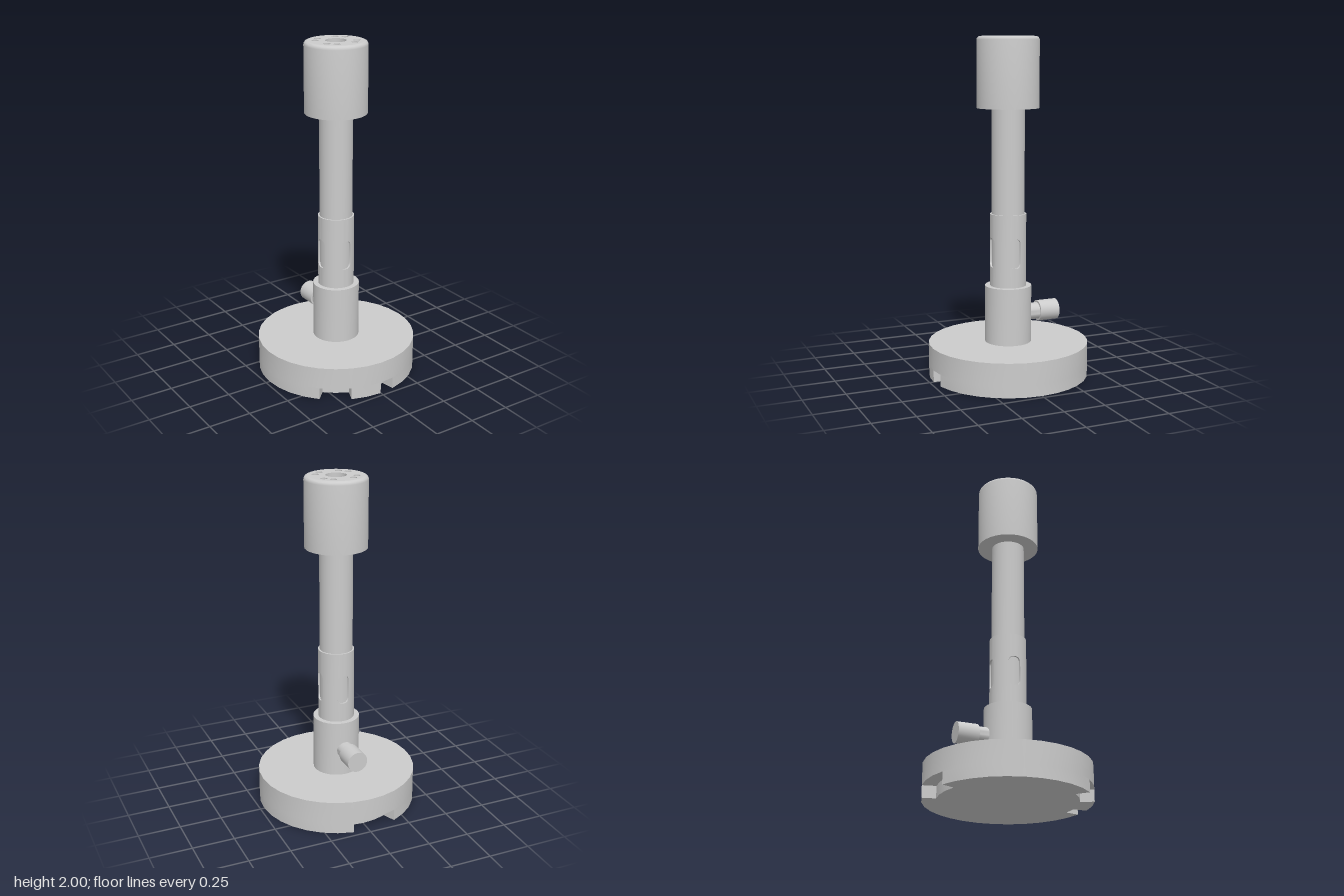
import * as THREE from 'three';
import { toCreasedNormals } from 'three/addons/utils/BufferGeometryUtils.js';

const V = (x, y) => new THREE.Vector2(x, y);

export function createModel() {
  const model = new THREE.Group();
  const material = new THREE.MeshStandardMaterial({ color: 0xcccccc });
  const twoSided = new THREE.MeshStandardMaterial({ color: 0xcccccc, side: THREE.DoubleSide });

  const add = (name, geometry, mat = material, parent = model) => {
    const mesh = new THREE.Mesh(toCreasedNormals(geometry, 0.6), mat);
    mesh.name = name;
    parent.add(mesh);
    return mesh;
  };
  const lathe = (points) => new THREE.LatheGeometry(points.map(p => V(...p)), 32);
  const cylinder = (r, y0, y1, open = false) =>
    new THREE.CylinderGeometry(r, r, y1 - y0, 32, 1, open).translate(0, (y0 + y1) / 2, 0);

  // Heavy round foot: a disc above a rim layer with notches in its edge
  const R = 0.475, notchTop = 0.07, step = Math.PI / 16;
  add('baseDisc', cylinder(R, notchTop, 0.2));
  const notched = new Set([0, 15, 16, 17, 28, 29]);
  const rim = new THREE.Shape();
  const rimPoints = [];
  for (let i = 0; i < 32; i++) {
    const r = notched.has(i) ? R - 0.08 : R;
    for (const a of [i * step, (i + 1) * step]) {
      const p = V(r * Math.sin(a), -r * Math.cos(a));
      const last = rimPoints[rimPoints.length - 1];
      if (!last || last.distanceTo(p) > 1e-5) rimPoints.push(p);
    }
  }
  rim.setFromPoints(rimPoints);
  add('baseNotchedRim', new THREE.ExtrudeGeometry(rim, { depth: notchTop, bevelEnabled: false })
    .rotateX(-Math.PI / 2));

  // Lower body and burner tube
  add('lowerBody', cylinder(0.138, 0.2, 0.54));
  add('burnerTube', cylinder(0.097, 0.54, 1.6));

  // Air collar: a thin sleeve with four oblong windows over the tube
  add('airCollar', collarGeometry(0.107, 0.097, 0.54, 0.97), twoSided);

  // Gas valve at the back
  const valve = new THREE.Group();
  valve.name = 'gasValve';
  valve.position.set(0, 0.363, 0);
  valve.rotation.x = -Math.PI / 2;
  model.add(valve);
  add('valveNeck', cylinder(0.05, 0.12, 0.2), material, valve);
  add('valveKnob', cylinder(0.0615, 0.19, 0.313), material, valve);

  // Burner head with a rounded upper edge
  const head = new THREE.Group();
  head.name = 'burnerHead';
  model.add(head);
  const profile = [[0.09, 1.588], [0.182, 1.588]];
  for (let i = 0; i <= 5; i++) {
    const a = i / 5 * Math.PI / 2;
    profile.push([0.16 + 0.022 * Math.cos(a), 1.978 + 0.022 * Math.sin(a)]);
  }
  add('headShell', lathe(profile), material, head);

  // Top plate with a central outlet and eight small ports
  const ports = [[0, 0, 0.06, 0.12]];
  for (const sx of [-1, 1]) for (const sz of [-1, 1])
    ports.push([sx * 0.06, sz * 0.1, 0.02, 0.06], [sx * 0.1, sz * 0.06, 0.02, 0.06]);
  const circle = (x, y, r, n) => Array.from({ length: n }, (_, i) =>
    V(x + r * Math.sin(i / n * Math.PI * 2), y - r * Math.cos(i / n * Math.PI * 2)));
  const plate = new THREE.Shape(circle(0, 0, 0.16, 32));
  for (const [x, z, r] of ports) plate.holes.push(new THREE.Path(circle(x, -z, r, 32)));
  add('headTop', new THREE.ShapeGeometry(plate).rotateX(-Math.PI / 2).translate(0, 2, 0), material, head);
  for (const [x, z, r, depth] of ports) {
    add('portWall', cylinder(r, 2 - depth, 2, true).translate(x, 0, z), twoSided, head);
    add('portFloor', new THREE.CircleGeometry(r, 32).rotateX(-Math.PI / 2)
      .translate(x, 2 - depth, z), material, head);
  }

  // Four wedges that leave a cross-shaped gap in the outlet
  for (let k = 0; k < 4; k++) {
    const mid = Math.PI / 4 + k * Math.PI / 2;
    const wedge = new THREE.Shape();
    wedge.moveTo(0.03 * Math.cos(mid), 0.03 * Math.sin(mid));
    wedge.absarc(0, 0, 0.06, mid - 0.42, mid + 0.42, false);
    wedge.closePath();
    add('outletWedge', new THREE.ExtrudeGeometry(wedge, { depth: 0.07, bevelEnabled: false })
      .rotateX(-Math.PI / 2).translate(0, 1.88, 0), material, head);
  }
  return model;
}

// Sleeve built column by column, leaving an oblong gap at each quarter turn
function collarGeometry(rOut, rIn, y0, y1) {
  const pos = [];
  const halfW = 0.036, low = 0.655, high = 0.83, corner = 0.03;
  const point = (r, a, y) => [r * Math.sin(a), y, r * Math.cos(a)];
  const quad = (a, b, c, d) => pos.push(...a, ...b, ...c, ...a, ...c, ...d);
  const halfAngle = Math.asin(halfW / rOut);
  // Rise of the window edge towards its rounded corners
  const inset = (t) => {
    const d = Math.max(0, Math.abs(t) * halfW - (halfW - corner));
    return corner - Math.sqrt(Math.max(0, corner * corner - d * d));
  };
  const band = (a, b, ya, yb, za, zb) =>
    quad(point(rOut, a, ya), point(rOut, b, yb), point(rOut, b, zb), point(rOut, a, za));
  const ledge = (a, b, ya, yb) =>
    quad(point(rOut, a, ya), point(rOut, b, yb), point(rIn, b, yb), point(rIn, a, ya));

  for (let k = 0; k < 4; k++) {
    const mid = k * Math.PI / 2, n = 12;
    for (let i = 0; i < n; i++) {
      const t0 = -Math.cos(i / n * Math.PI), t1 = -Math.cos((i + 1) / n * Math.PI);
      const a = mid + t0 * halfAngle, b = mid + t1 * halfAngle;
      const e0 = inset(t0), e1 = inset(t1);
      band(a, b, y0, y0, low + e0, low + e1);
      band(a, b, high - e0, high - e1, y1, y1);
      ledge(a, b, low + e0, low + e1);
      ledge(b, a, high - e1, high - e0);
      ledge(a, b, y1, y1);
    }
    // Straight window sides
    for (const s of [-1, 1]) {
      const a = mid + s * halfAngle, p = low + corner, q = high - corner;
      const side = [point(rOut, a, p), point(rIn, a, p), point(rIn, a, q), point(rOut, a, q)];
      quad(...(s < 0 ? side : side.reverse()));
    }
    // Solid wall up to the next window
    const start = mid + halfAngle, span = Math.PI / 2 - 2 * halfAngle;
    for (let i = 0; i < 6; i++) {
      const a = start + span * i / 6, b = start + span * (i + 1) / 6;
      band(a, b, y0, y0, y1, y1);
      ledge(a, b, y1, y1);
    }
  }
  const geometry = new THREE.BufferGeometry();
  geometry.setAttribute('position', new THREE.Float32BufferAttribute(pos, 3));
  geometry.computeVertexNormals();
  return geometry;
}
